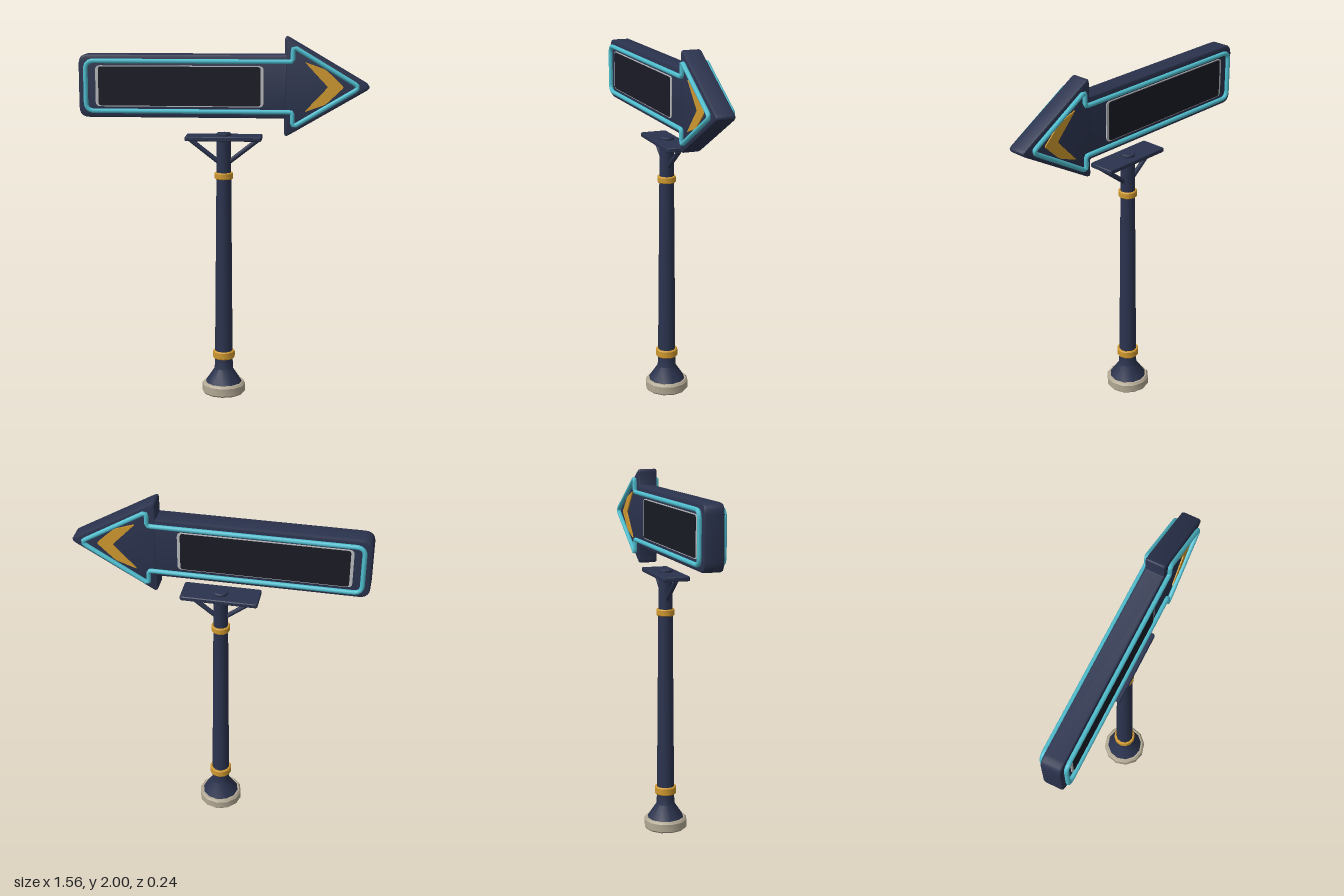
import * as THREE from 'three';
import { toCreasedNormals } from 'three/addons/utils/BufferGeometryUtils.js';

const mat = (name, color) => {
  const m = new THREE.MeshStandardMaterial({ color });
  m.name = name;
  return m;
};

const CENTER_Y = 1.74; // middle height of the arrow board
const HALF_DEPTH = 0.054;

// Cuts every corner [x, y, radius] into a start, control and end point
function cutCorners(corners) {
  const n = corners.length;
  return corners.map(([x, y, r], i) => {
    const p = new THREE.Vector2(x, y);
    const toward = ([ax, ay]) => new THREE.Vector2(ax, ay).sub(p).setLength(r).add(p);
    return [toward(corners[(i + n - 1) % n]), p, toward(corners[(i + 1) % n])];
  });
}

function roundedShape(corners) {
  const shape = new THREE.Shape();
  cutCorners(corners).forEach(([a, p, b], i) => {
    if (i === 0) shape.moveTo(a.x, a.y);
    else shape.lineTo(a.x, a.y);
    shape.quadraticCurveTo(p.x, p.y, b.x, b.y);
  });
  shape.closePath();
  return shape;
}

function roundedLoop(corners) {
  const path = new THREE.CurvePath();
  const v3 = (v) => new THREE.Vector3(v.x, v.y, 0);
  const cut = cutCorners(corners);
  cut.forEach(([a, p, b], i) => {
    path.add(new THREE.QuadraticBezierCurve3(v3(a), v3(p), v3(b)));
    path.add(new THREE.LineCurve3(v3(b), v3(cut[(i + 1) % cut.length][0])));
  });
  path.arcLengthDivisions = 600;
  return path;
}

// Arrow outline, symmetric about y = 0, counter-clockwise
function arrow(left, half, neck, barb, tip, rounds) {
  const [rl, rn, rb, rt] = rounds;
  return [
    [left, half, rl], [left, -half, rl], [neck, -half, rn], [neck, -barb, rb],
    [tip, 0, rt], [neck, barb, rb], [neck, half, rn],
  ];
}

const rect = (x0, x1, h, r) => [[x0, -h, r], [x1, -h, r], [x1, h, r], [x0, h, r]];

export function createModel() {
  const navy = mat('navy paint', 0x2b334e);
  const black = mat('dark panel', 0x191b25);
  const cyan = mat('cyan neon', 0x4fbfd0);
  const gold = mat('gold', 0xd0992f);
  const stone = mat('beige stone', 0xb3a994);
  const silver = mat('silver frame', 0xb9bbbd);

  const model = new THREE.Group();
  model.name = 'arrowSign';

  const add = (name, geometry, material, parent = model) => {
    const mesh = new THREE.Mesh(geometry, material);
    mesh.name = name;
    parent.add(mesh);
    return mesh;
  };
  const lathe = (name, profile, material) => {
    const points = profile.map(([r, y]) => new THREE.Vector2(r, y));
    return add(name, toCreasedNormals(new THREE.LatheGeometry(points, 12), 0.6), material);
  };

  // Foot and post
  lathe('foot', [[0, 0.005], [0.114, 0.005], [0.122, 0.014], [0.122, 0.056], [0.112, 0.068], [0, 0.068]], stone);
  lathe('flare', [[0, 0.066], [0.103, 0.066], [0.097, 0.078], [0.052, 0.145], [0.05, 0.21]], navy);
  lathe('post', [[0.05, 0.2], [0.039, 1.45]], navy);

  // Gold bands
  const band = (name, r, y0, y1) => lathe(name, [
    [r - 0.02, y0], [r - 0.004, y0], [r, y0 + 0.005],
    [r, y1 - 0.005], [r - 0.004, y1], [r - 0.02, y1],
  ], gold);
  band('lowerBand', 0.062, 0.206, 0.25);
  band('upperBand', 0.051, 1.23, 1.267);

  // Bracket plate with its cap and two slanted braces
  const plate = new THREE.ExtrudeGeometry(roundedShape(rect(-0.208, 0.208, 0.075, 0.012)), {
    depth: 0.016, bevelThickness: 0.004, bevelSize: 0.004, bevelOffset: -0.004, bevelSegments: 1, curveSegments: 3,
  });
  plate.rotateX(-Math.PI / 2);
  add('bracketPlate', toCreasedNormals(plate, 0.6), navy).position.y = 1.45;
  lathe('bracketCap', [[0.041, 1.46], [0.041, 1.481], [0.036, 1.485], [0, 1.485]], navy);
  for (const side of [1, -1]) {
    const from = new THREE.Vector3(side * 0.03, 1.325, 0);
    const to = new THREE.Vector3(side * 0.19, 1.45, 0);
    const brace = add(side > 0 ? 'leftBrace' : 'rightBrace',
      new THREE.CylinderGeometry(0.013, 0.013, from.distanceTo(to), 8), navy);
    brace.position.copy(from).lerp(to, 0.5);
    brace.quaternion.setFromUnitVectors(new THREE.Vector3(0, 1, 0), to.clone().sub(from).normalize());
  }

  // Arrow board
  const bevel = 0.012;
  const board = new THREE.ExtrudeGeometry(
    roundedShape(arrow(-0.782, 0.17, 0.328, 0.274, 0.797, [0.055, 0.006, 0.03, 0.04])), {
      depth: 2 * (HALF_DEPTH - bevel), bevelThickness: bevel, bevelSize: bevel, bevelOffset: -bevel,
      bevelSegments: 2, curveSegments: 5,
    });
  board.translate(0, 0, bevel - HALF_DEPTH);
  add('arrowBoard', toCreasedNormals(board, 0.6), navy).position.y = CENTER_Y;

  // Each face: neon outline, framed panel and chevron
  const flat = (corners, depth) =>
    new THREE.ExtrudeGeometry(roundedShape(corners), { depth, bevelEnabled: false, curveSegments: 4 });
  const neon = new THREE.TubeGeometry(
    roundedLoop(arrow(-0.742, 0.134, 0.372, 0.215, 0.732, [0.045, 0.015, 0.025, 0.035])), 240, 0.0125, 8, true);
  const frame = flat(rect(-0.69, 0.217, 0.11, 0.025), 0.006);
  const panel = flat(rect(-0.674, 0.201, 0.105, 0.016), 0.009);
  const chevron = flat([
    [0.435, -0.133, 0.008], [0.548, -0.093, 0.02], [0.645, 0, 0.012],
    [0.548, 0.093, 0.02], [0.435, 0.133, 0.008], [0.56, 0, 0.01],
  ], 0.007);

  for (const side of ['front', 'back']) {
    const face = new THREE.Group();
    face.name = side + 'Face';
    face.position.y = CENTER_Y;
    if (side === 'back') face.rotation.x = Math.PI;
    model.add(face);
    add(side + 'Neon', neon, cyan, face).position.z = 0.064;
    add(side + 'Frame', frame, silver, face).position.z = HALF_DEPTH - 0.001;
    add(side + 'Panel', panel, black, face).position.z = HALF_DEPTH - 0.001;
    add(side + 'Chevron', chevron, gold, face).position.z = HALF_DEPTH - 0.001;
  }

  return model;
}
